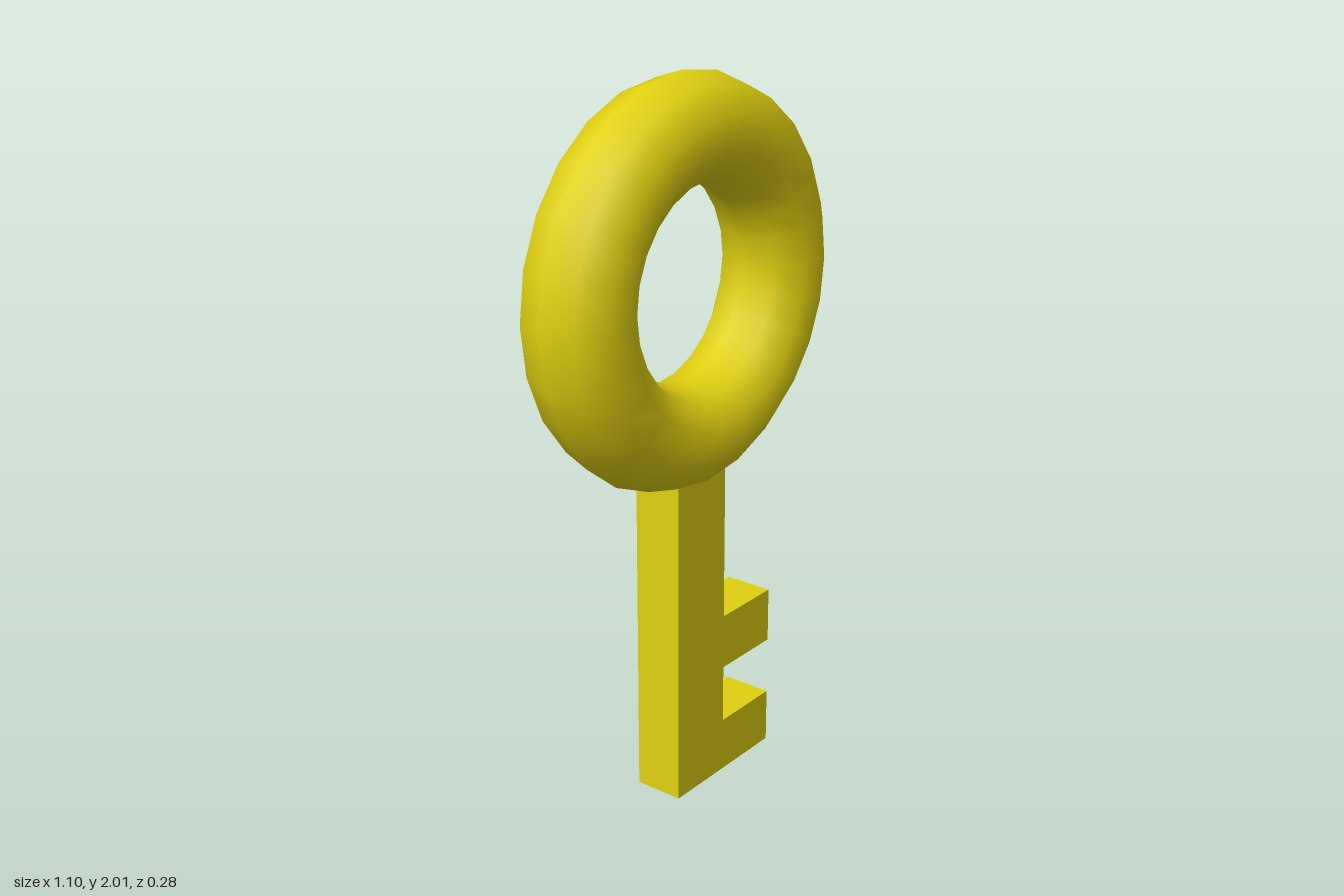
import * as THREE from 'three';

export function createModel() {
  const model = new THREE.Group();
  model.name = 'key';
  const gold = new THREE.MeshStandardMaterial({ color: 0xe0d010 });
  gold.name = 'yellow gold';

  // Ring handle
  const bow = new THREE.Mesh(new THREE.TorusGeometry(0.405, 0.145, 10, 24), gold);
  bow.name = 'ringHandle';
  bow.position.y = 1.455;
  model.add(bow);

  // Shaft with two square teeth, its top sunk into the ring
  const left = -0.108, right = 0.097, tip = 0.312, depth = 0.142;
  const outline = new THREE.Shape([
    [left, 0], [tip, 0], [tip, 0.158], [right, 0.158],
    [right, 0.328], [tip, 0.328], [tip, 0.488], [right, 0.488],
    [right, 1.03], [left, 1.03],
  ].map(([x, y]) => new THREE.Vector2(x, y)));
  const shaftGeometry = new THREE.ExtrudeGeometry(outline, { depth, bevelEnabled: false });
  shaftGeometry.translate(0, 0, -depth / 2);
  const shaft = new THREE.Mesh(shaftGeometry, gold);
  shaft.name = 'toothedShaft';
  model.add(shaft);

  return model;
}
